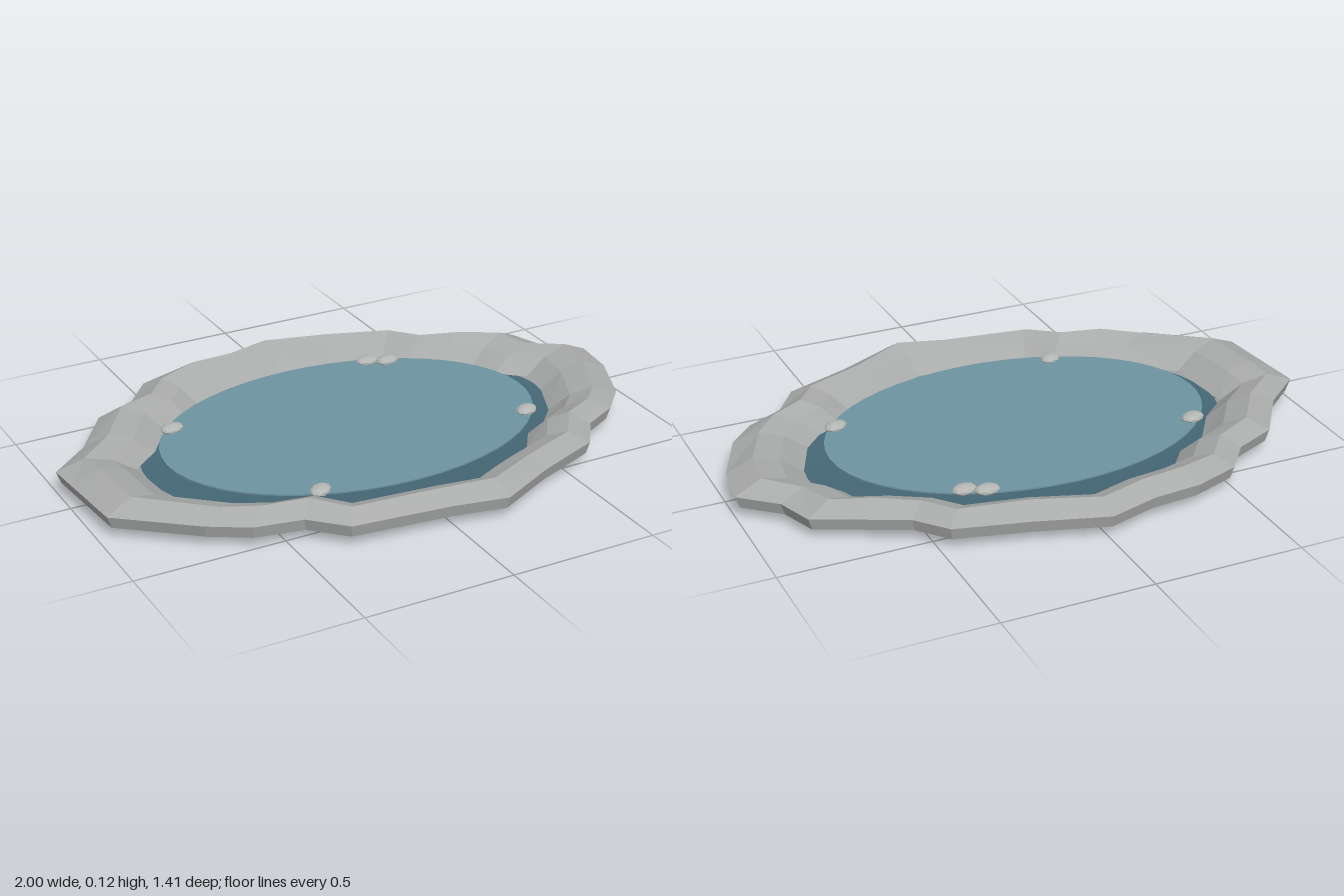
import * as THREE from 'three';

const stone = new THREE.MeshStandardMaterial({ color: 0xa9abaa, flatShading: true });
stone.name = 'stone';
const pale = new THREE.MeshStandardMaterial({ color: 0xb4b6b4, flatShading: true });
pale.name = 'paleStone';
const waterBlue = new THREE.MeshStandardMaterial({ color: 0x6d95a2 });
waterBlue.name = 'waterBlue';
const deepBlue = new THREE.MeshStandardMaterial({ color: 0x466876, side: THREE.DoubleSide });
deepBlue.name = 'deepBlue';

// Rugged outer outline of the rim as [x, z], clockwise seen from above
const outline = [
  [-0.01, -0.71], [0.23, -0.635], [0.47, -0.575], [0.555, -0.475], [0.7, -0.405],
  [0.84, -0.34], [0.885, -0.215], [1, -0.115], [0.98, 0.04], [0.895, 0.235],
  [0.805, 0.33], [0.68, 0.395], [0.6, 0.51], [0.375, 0.6], [0.17, 0.705],
  [-0.01, 0.67], [-0.345, 0.635], [-0.45, 0.53], [-0.61, 0.5], [-0.735, 0.425],
  [-0.97, 0.235], [-0.99, 0], [-1, -0.115], [-0.86, -0.235], [-0.735, -0.415],
  [-0.59, -0.48], [-0.5, -0.59], [-0.345, -0.645], [-0.18, -0.66],
];

// Cross-section of the rim as [scale of outline, height, unevenness]
const section = [
  [0.985, 0.034, 0], [1, 0.075, 0], [0.908, 0.112, 0.006], [0.82, 0.088, 0.004], [0.74, 0.034, 0],
];

function rimGeometry() {
  const n = outline.length, m = section.length;
  const positions = [], index = [];
  outline.forEach(([x, z], i) => section.forEach(([s, y, bump]) => {
    positions.push(x * s, y + bump * Math.sin(i * 1.9), z * s);
  }));
  for (let i = 0; i < n; i++) {
    for (let j = 0; j < m; j++) {
      const i2 = (i + 1) % n, j2 = (j + 1) % m;
      const a = i * m + j, b = i * m + j2, c = i2 * m + j2, d = i2 * m + j;
      index.push(a, b, c, a, c, d);
    }
  }
  const indexed = new THREE.BufferGeometry();
  indexed.setAttribute('position', new THREE.Float32BufferAttribute(positions, 3));
  indexed.setIndex(index);
  const g = indexed.toNonIndexed();
  g.computeVertexNormals();
  return g;
}

export function createModel() {
  const model = new THREE.Group();
  model.name = 'pond';
  const add = (name, geometry, material) => {
    const mesh = new THREE.Mesh(geometry, material);
    mesh.name = name;
    model.add(mesh);
    return mesh;
  };

  add('rockRim', rimGeometry(), stone);

  // Shallow oval bowl under the water
  const bowl = [[0, 0], [0.3, 0.003], [0.6, 0.009], [0.8, 0.016], [1, 0.034]]
    .map(([r, y]) => new THREE.Vector2(r * 0.735, y));
  add('basin', new THREE.LatheGeometry(bowl, 48).scale(1, 1, 0.71), deepBlue);

  // Thin oval sheet of water
  const water = add('waterSurface', new THREE.CylinderGeometry(1, 1, 0.005, 48), waterBlue);
  water.scale.set(0.658, 1, 0.455);
  water.position.set(-0.012, 0.069, 0.002);

  // Small flat pebbles along the water's edge
  const pebble = new THREE.IcosahedronGeometry(0.042, 1).scale(1, 0.38, 0.75);
  [[0.27, -0.393], [0.335, -0.363], [-0.552, -0.227], [0.55, 0.207], [-0.32, 0.384]]
    .forEach(([x, z], i) => {
      const mesh = add('pebble' + (i + 1), pebble, pale);
      mesh.position.set(x, 0.075, z);
      mesh.rotation.y = i * 0.15;
    });

  return model;
}
